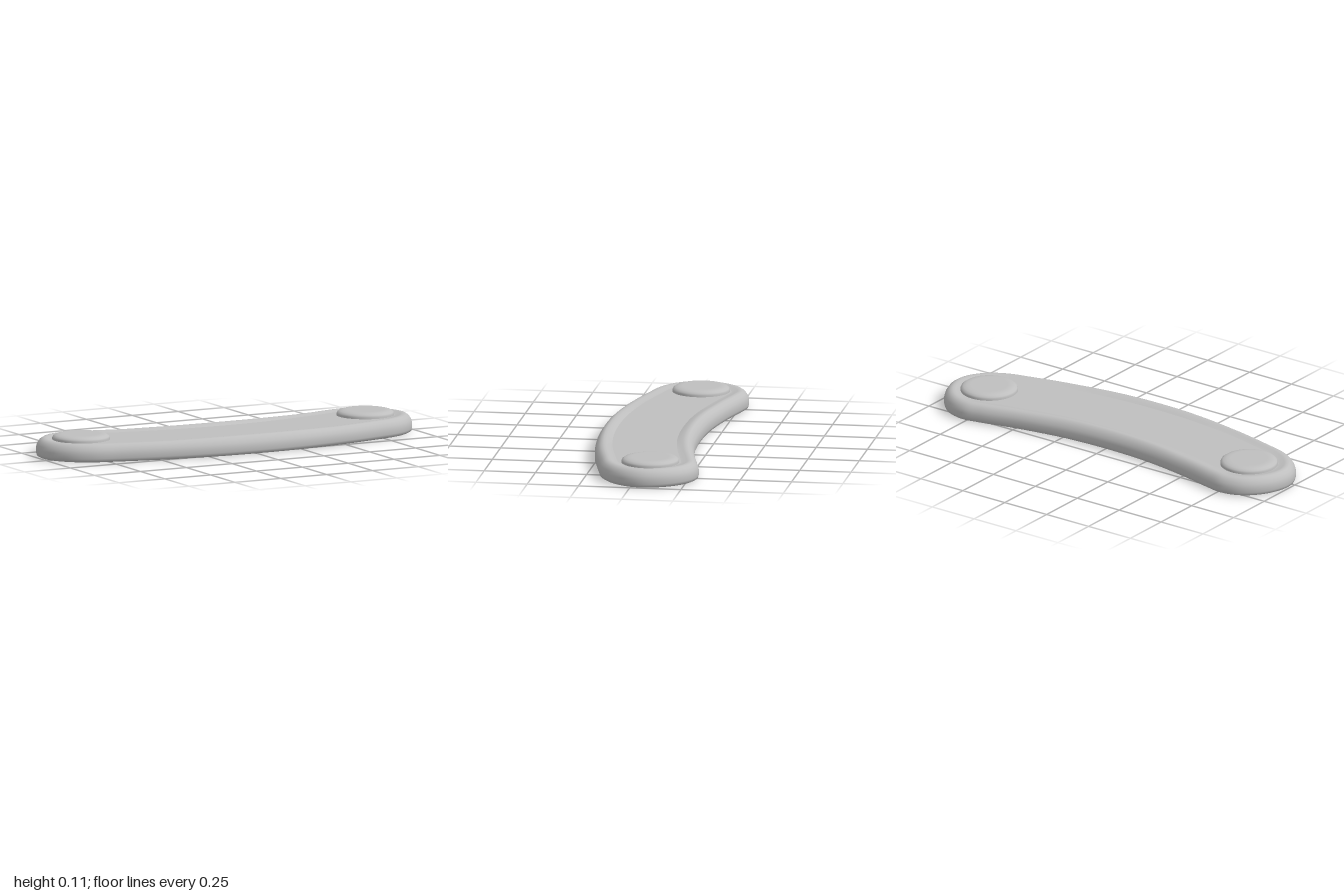
import * as THREE from 'three';

const grey = new THREE.MeshStandardMaterial({ color: 0xbfbfbf });
grey.name = 'grey';

// Right half of the curved outline as [x, z], from front middle to back middle
const half = [
  [0, 0.295], [0.25, 0.284], [0.5, 0.249], [0.7, 0.203], [0.83, 0.166],
  [0.92, 0.11], [0.98, 0.03], [0.999, -0.05], [0.98, -0.14], [0.93, -0.22],
  [0.86, -0.275], [0.77, -0.298], [0.68, -0.283], [0.5, -0.24], [0.25, -0.199], [0, -0.187],
];

// Edge profile as [inset from outline, height], from the underside to the recessed floor
const profile = [
  [0.014, 0], [0.004, 0.005], [0, 0.018], [0, 0.04], [0.005, 0.058], [0.016, 0.075],
  [0.03, 0.084], [0.043, 0.087], [0.056, 0.085], [0.07, 0.081], [0.085, 0.079],
];

function outline(count) {
  const mirrored = half.slice(1, -1).reverse().map(([x, z]) => [-x, z]);
  const points = [...half, ...mirrored].map(([x, z]) => new THREE.Vector3(x, 0, z));
  const curve = new THREE.CatmullRomCurve3(points, true, 'centripetal');
  return Array.from({ length: count }, (_, i) => {
    const p = curve.getPointAt(i / count);
    const t = curve.getTangentAt(i / count);
    return { x: p.x, z: p.z, nx: -t.z, nz: t.x };
  });
}

// One ring of points, with the rim rising slightly at mid-length
function ring(path, [inset, y]) {
  return path.map((p) => {
    const rise = y > 0.08 ? 0.004 * Math.max(0, 1 - (p.x / 0.45) ** 2) : 0;
    return new THREE.Vector3(p.x - p.nx * inset, y + rise, p.z - p.nz * inset);
  });
}

function toGeometry(points, index) {
  const g = new THREE.BufferGeometry().setFromPoints(points);
  g.setIndex(index);
  g.computeVertexNormals();
  return g;
}

function sideGeometry(rings) {
  const n = rings[0].length;
  const index = [];
  for (let j = 0; j < rings.length - 1; j++) {
    for (let i = 0; i < n; i++) {
      const a = j * n + i;
      const b = j * n + ((i + 1) % n);
      index.push(a, b, b + n, a, b + n, a + n);
    }
  }
  return toGeometry(rings.flat(), index);
}

function capGeometry(points, faceUp) {
  const contour = points.map((p) => new THREE.Vector2(p.x, -p.z));
  const faces = THREE.ShapeUtils.triangulateShape(contour, []);
  return toGeometry(points, faces.flatMap(([a, b, c]) => (faceUp ? [a, b, c] : [a, c, b])));
}

export function createModel() {
  const model = new THREE.Group();
  model.name = 'curvedPlate';
  const add = (name, geometry) => {
    const mesh = new THREE.Mesh(geometry, grey);
    mesh.name = name;
    model.add(mesh);
    return mesh;
  };

  // Plate with rolled rim, recessed floor and flat underside
  const path = outline(240);
  const rings = profile.map((row) => ring(path, row));
  add('rim', sideGeometry(rings));
  add('floor', capGeometry(rings[rings.length - 1], true));
  add('underside', capGeometry(rings[0], false));

  // Round buttons at both ends
  const button = new THREE.LatheGeometry(
    [[0.139, 0.07], [0.139, 0.087], [0.135, 0.095], [0.125, 0.102], [0.108, 0.106], [0.09, 0.107], [0, 0.107]]
      .map(([r, y]) => new THREE.Vector2(r, y)), 64);
  for (const side of [1, -1]) {
    add(side > 0 ? 'leftButton' : 'rightButton', button).position.set(side * 0.775, 0, -0.065);
  }
  return model;
}
